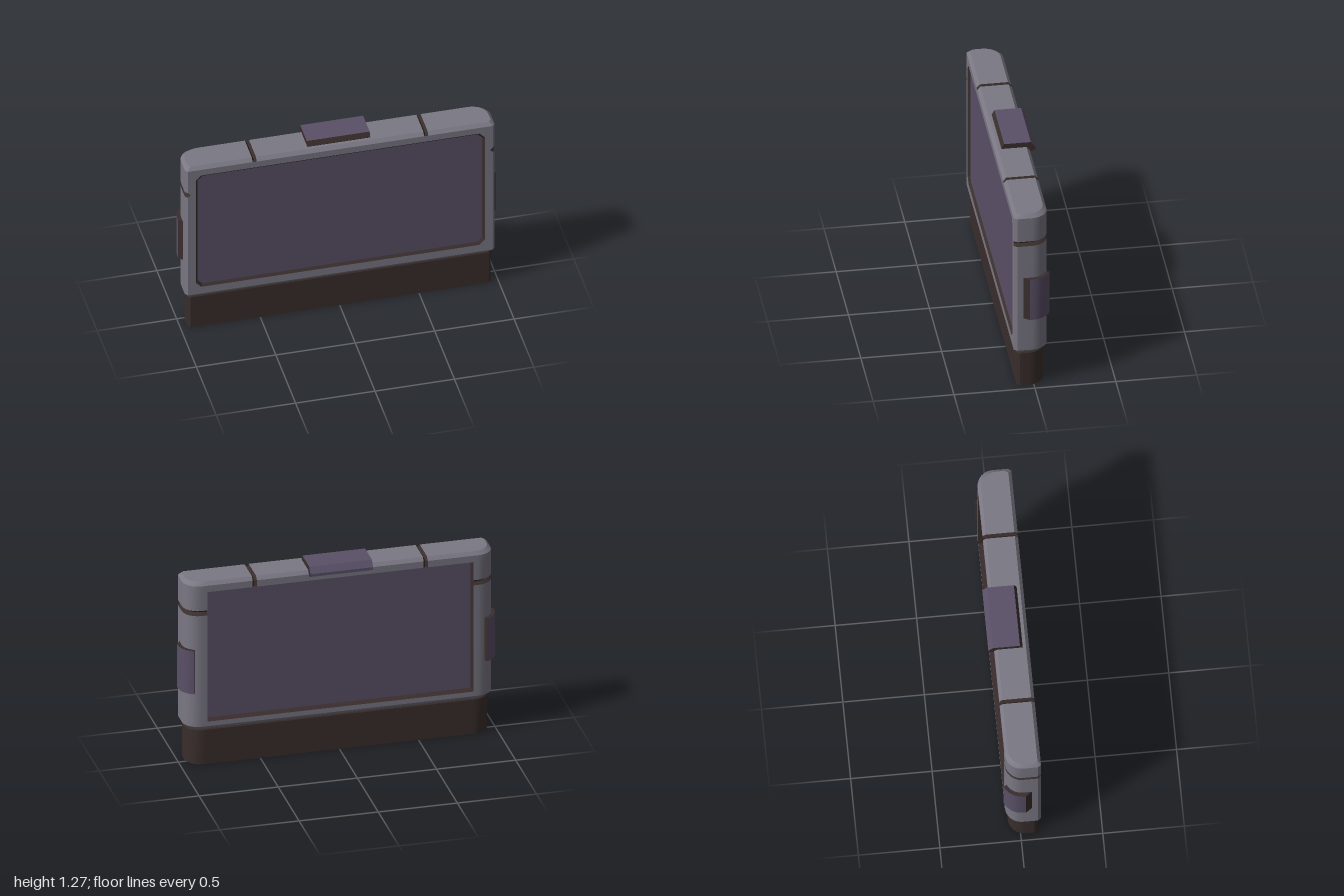
import * as THREE from 'three';
import { toCreasedNormals } from 'three/addons/utils/BufferGeometryUtils.js';

const mat = (name, color) => Object.assign(new THREE.MeshStandardMaterial({ color }), { name });

// Collects quads per material and turns them into named meshes
function builder(name, mats) {
  const lists = mats.map(() => []);
  const quad = (a, b, c, d, m) => lists[m].push(...a, ...b, ...c, ...a, ...c, ...d);
  const flip = p => [-p[0], p[1], p[2]];
  // the same quad on both sides of x = 0
  const both = (a, b, c, d, m) => {
    quad(a, b, c, d, m);
    quad(flip(d), flip(c), flip(b), flip(a), m);
  };
  const build = () => {
    const g = new THREE.Group();
    g.name = name;
    lists.forEach((l, m) => {
      if (!l.length) return;
      const geo = new THREE.BufferGeometry();
      geo.setAttribute('position', new THREE.Float32BufferAttribute(l, 3));
      const mesh = new THREE.Mesh(toCreasedNormals(geo, 0.5), mats[m]);
      mesh.name = name + ' ' + mats[m].name;
      g.add(mesh);
    });
    return g;
  };
  return { quad, both, build };
}

const GREY = 0, DARK = 1, PURPLE = 2;
const ZF = 0.125, ZB = -0.09, HW = 0.975, R = 0.1;
const NOTCH = [0.527, 0.54, 0.553];

// Half of the footprint: front points outwards, then rear points outwards
function half(y, d, { groove = 0, topNotch = 0, backNotch = 0 } = {}) {
  const X = HW - d - groove, zf = ZF - d, zb = ZB + d + groove;
  const cut = i => (i === 2 ? topNotch : 0);
  const inner = [0, ...NOTCH];
  const front = [...inner, 0.91].map((x, i) => [x, y - cut(i), zf]);
  front.push([X - 0.015, y, zf], [X, y, zf - 0.02]);
  const back = [...inner, 0.84].map((x, i) => [x, y - cut(i), zb + (i === 2 ? backNotch : 0)]);
  for (let i = 0; i <= 6; i++) {
    const a = (Math.PI / 2) * (1 - i / 6);
    back.push([X - R + R * Math.cos(a), y, zb + R - R * Math.sin(a)]);
  }
  return { front, back, loop: [...front, ...back.slice().reverse()] };
}

function cap(b, h, up, pick) {
  const f = i => h.front[Math.min(i, h.front.length - 1)];
  for (let i = 0; i < h.back.length - 1; i++) {
    const q = [f(i), f(i + 1), h.back[i + 1], h.back[i]];
    if (!up) q.reverse();
    b.both(...q, pick(i));
  }
}

// Corners of a window, counterclockwise from the front, with optional cut corners
function windowLoop(w, y0, y1, z, c) {
  const p = [[w - c, y0], [w, y0 + c], [w, y1 - c], [w - c, y1]];
  return [...p, ...p.slice().reverse().map(([x, y]) => [-x, y])].map(([x, y]) => [x, y, z]);
}

function ring(b, o, n, m, inward) {
  o.forEach((p, i) => {
    const j = (i + 1) % o.length;
    const q = [p, o[j], n[j], n[i]];
    if (inward) q.reverse();
    b.quad(...q, m);
  });
}

// Latch: a strip between outer and inner profile lines, swept from t0 to t1
function latch(b, outer, inner, place, t0, t1, purple) {
  const at = (p, t) => place(p[0], p[1], t);
  const V = p => new THREE.Vector3(...p);
  const n = outer.length;
  const mid = (n - 1) >> 1;
  const ref = V(at(inner[mid], (t0 + t1) / 2)).lerp(V(at(outer[mid], (t0 + t1) / 2)), 0.3);
  const face = (q, m) => {
    const [a, c, d, e] = q.map(V);
    const nor = d.clone().sub(a).cross(e.clone().sub(c));
    const ctr = a.clone().add(c).add(d).add(e).multiplyScalar(0.25).sub(ref);
    if (nor.dot(ctr) < 0) q.reverse();
    b.both(...q, m);
  };
  for (let i = 0; i < n - 1; i++) {
    face([at(outer[i], t0), at(outer[i + 1], t0), at(outer[i + 1], t1), at(outer[i], t1)], purple(i) ? PURPLE : DARK);
    for (const t of [t0, t1]) {
      if (t !== 0) face([at(outer[i], t), at(outer[i + 1], t), at(inner[i + 1], t), at(inner[i], t)], DARK);
    }
  }
  for (const i of [0, n - 1]) face([at(outer[i], t0), at(inner[i], t0), at(inner[i], t1), at(outer[i], t1)], DARK);
}

export function createModel() {
  const mats = [mat('casing grey', 0x7b7884), mat('dark trim', 0x392e2c), mat('panel purple', 0x5a5067)];
  const model = new THREE.Group();
  model.name = 'display panel';

  // Casing skin, with side grooves, top notches and front and rear windows
  const casing = builder('casing', mats);
  const rows = [
    half(0.24, 0.022), half(0.264, 0), half(0.295, 0), half(0.315, 0), half(1.013, 0),
    half(1.03, 0, { groove: 0.018 }), half(1.047, 0),
    half(1.17, 0, { backNotch: 0.015 }), half(1.213, 0, { backNotch: 0.015 }),
    half(1.235, 0.02, { topNotch: 0.02 }),
  ];
  const count = rows[0].loop.length;
  for (let r = 0; r < rows.length - 1; r++) {
    const lo = rows[r].loop, hi = rows[r + 1].loop;
    for (let i = 0; i < count - 1; i++) {
      const k = count - 2 - i; // index from the rear centre
      if (i < 4 && r >= 3 && r < 7) continue;
      if (k < 4 && r >= 2 && r < 7) continue;
      const sideGroove = (r === 4 || r === 5) && i >= 5;
      const topGroove = (r === 8 && (i === 1 || i === 2)) || (r >= 7 && (k === 1 || k === 2));
      casing.both(lo[i], lo[i + 1], hi[i + 1], hi[i], sideGroove || topGroove ? DARK : GREY);
    }
  }
  cap(casing, rows[rows.length - 1], true, i => (i === 1 || i === 2 ? DARK : GREY));
  cap(casing, rows[0], false, () => DARK);
  // Corner fillers of the front window
  const c = 0.035;
  casing.both([0.91 - c, 0.315, ZF], [0.91, 0.315, ZF], [0.91, 0.315 + c, ZF], [0.91, 0.315 + c, ZF], GREY);
  casing.both([0.91, 1.17 - c, ZF], [0.91, 1.17, ZF], [0.91 - c, 1.17, ZF], [0.91 - c, 1.17, ZF], GREY);
  model.add(casing.build());

  // Front screen with bevelled dark bezel
  const screen = builder('front screen', mats);
  const inner = windowLoop(0.895, 0.33, 1.155, 0.11, c - 0.006);
  ring(screen, windowLoop(0.91, 0.315, 1.17, ZF, c), inner, DARK, false);
  for (let i = 0; i < 3; i++) screen.quad(inner[7 - i], inner[i], inner[i + 1], inner[6 - i], PURPLE);
  model.add(screen.build());

  // Recessed rear panel
  const rear = builder('rear panel', mats);
  const floor = windowLoop(0.84, 0.295, 1.17, -0.03, 0);
  ring(rear, windowLoop(0.84, 0.295, 1.17, ZB, 0), floor, DARK, true);
  rear.quad(floor[0], floor[7], floor[4], floor[3], PURPLE);
  model.add(rear.build());

  // Plinth
  const base = builder('base', mats);
  const steps = [half(0, 0.02), half(0.23, 0.02), half(0.242, 0.028)];
  for (let r = 0; r < 2; r++) {
    const lo = steps[r].loop, hi = steps[r + 1].loop;
    for (let i = 0; i < count - 1; i++) base.both(lo[i], lo[i + 1], hi[i + 1], hi[i], DARK);
  }
  cap(base, steps[0], false, () => GREY);
  model.add(base.build());

  // Top latch, folded over the rear edge (profile in z, y)
  const top = builder('top latch', mats);
  latch(top,
    [[0.085, 1.237], [0.068, 1.268], [-0.097, 1.268], [-0.126, 1.23], [-0.126, 1.212]],
    [[0.08, 1.225], [0.06, 1.225], [-0.06, 1.225], [-0.085, 1.205], [-0.085, 1.198]],
    (z, y, t) => [t, y, z], 0, 0.198, i => i > 0);
  model.add(top.build());

  // Side latches, wrapped round the rear corners (profile in x, z)
  const side = builder('side latches', mats);
  const outer = [[0.974, 0.068], [1, 0.03]], under = [[0.96, 0.068], [0.96, 0.03]];
  for (let i = 0; i <= 6; i++) {
    const a = (i / 6) * 1.16;
    outer.push([0.875 + 0.125 * Math.cos(a), 0.01 - 0.122 * Math.sin(a)]);
    under.push([0.875 + 0.09 * Math.cos(a), 0.01 - 0.09 * Math.sin(a)]);
  }
  latch(side, outer, under, (x, z, t) => [x, t, z], 0.495, 0.785, i => i > 0);
  model.add(side.build());

  return model;
}
